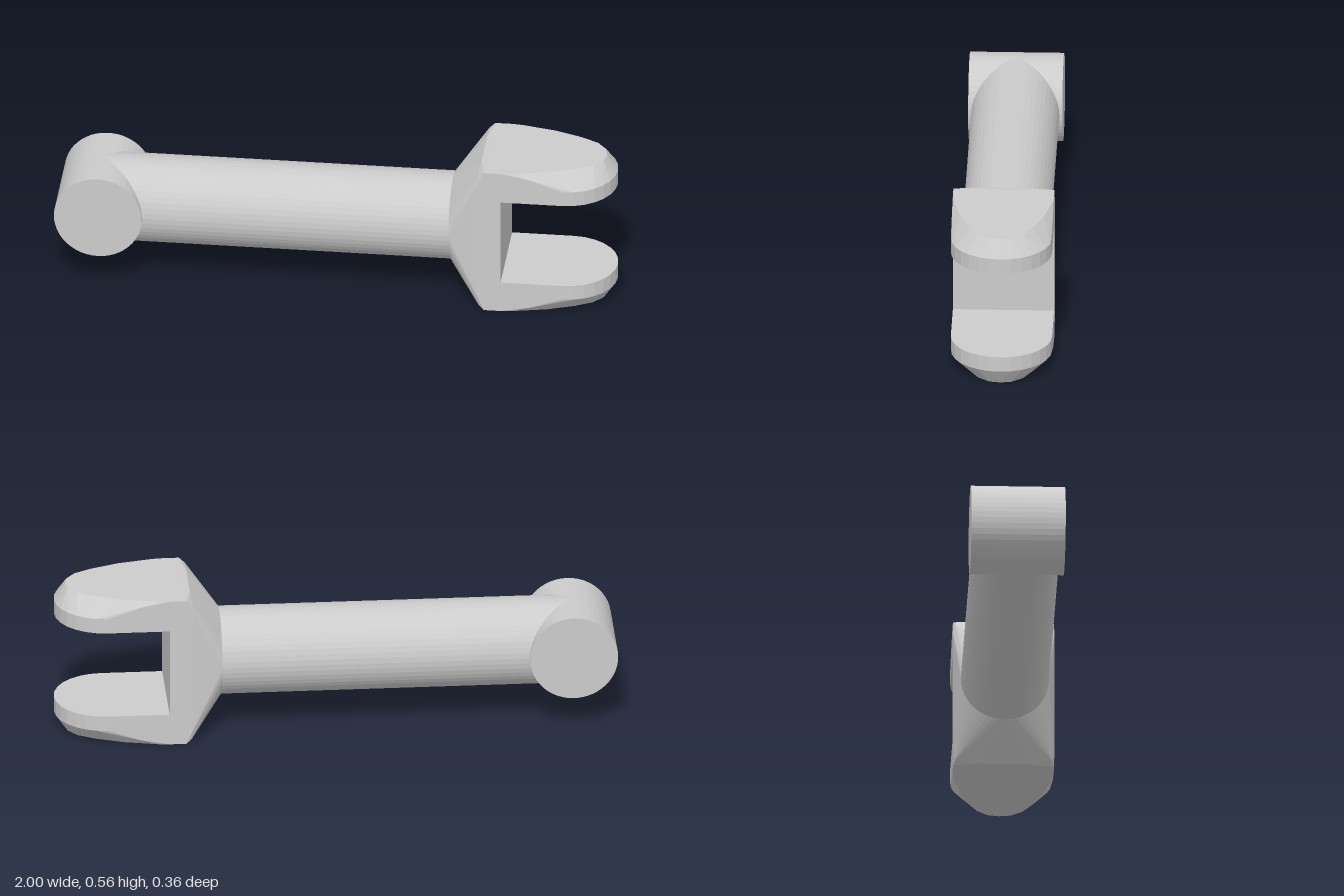
import * as THREE from 'three';
import { ConvexGeometry } from 'three/addons/geometries/ConvexGeometry.js';

const CY = 0.281;   // height of the shaft axis
const R = 0.157;    // shaft and cross pin radius
const W = 0.18;     // half width of the fork
const H = 0.281;    // half height of the fork
const GAP = 0.164;  // half height of the fork slot

export function createModel() {
  const group = new THREE.Group();
  const material = new THREE.MeshStandardMaterial({ color: 0xcccccc, flatShading: true });
  const v = (x, y, z) => new THREE.Vector3(x, y, z);
  const add = (name, geometry) => {
    const mesh = new THREE.Mesh(geometry, material);
    mesh.name = name;
    mesh.position.y = CY;
    group.add(mesh);
    return mesh;
  };

  // Cross pin along z, at the end of the shaft
  add('crossPin', new THREE.CylinderGeometry(R, R, 0.335, 48).rotateX(Math.PI / 2))
    .position.x = -1 + R;

  // Shaft along x, from the pin axis to the fork
  const start = -1 + R, end = 0.412;
  add('shaft', new THREE.CylinderGeometry(R, R, end - start, 48).rotateZ(Math.PI / 2))
    .position.x = (start + end) / 2;

  // Neck and web: a round section flaring into a rectangular block
  const neck = [];
  for (let i = 0; i < 48; i++) {
    const a = (i / 48) * Math.PI * 2;
    neck.push(v(0.41, Math.cos(a) * R, Math.sin(a) * R));
  }
  for (const sy of [-1, 1]) for (const sz of [-1, 1]) {
    neck.push(
      v(0.515, sy * 0.225, sz * W),
      v(0.52, sy * 0.265, sz * 0.172),
      v(0.54, sy * H, sz * W),
      v(0.522, sy * 0.279, sz * 0.09),
      v(0.6, sy * H, sz * W)
    );
  }
  add('forkNeck', new ConvexGeometry(neck));

  // Fork arms: rounded tips with a bevel that widens towards the end
  const rim = [[0.6, W]];
  for (let i = 0; i <= 7; i++) {
    const a = (i / 7) * Math.PI / 2;
    rim.push([0.82 + Math.sin(a) * W, Math.cos(a) * W]);
  }
  const face = [[0.6, W], [0.64, 0.176], [0.76, 0.15], [0.86, 0.113], [0.92, 0.08], [0.953, 0.04], [0.96, 0]];
  for (const sy of [-1, 1]) {
    const points = [];
    for (const sz of [-1, 1]) {
      for (const [x, z] of rim) {
        points.push(v(x, sy * GAP, sz * z), v(x, sy * 0.22, sz * z));
      }
      for (const [x, z] of face) points.push(v(x, sy * H, sz * z));
      points.push(v(0.7, sy * 0.262, sz * W));
    }
    add(sy > 0 ? 'upperForkArm' : 'lowerForkArm', new ConvexGeometry(points));
  }

  return group;
}
